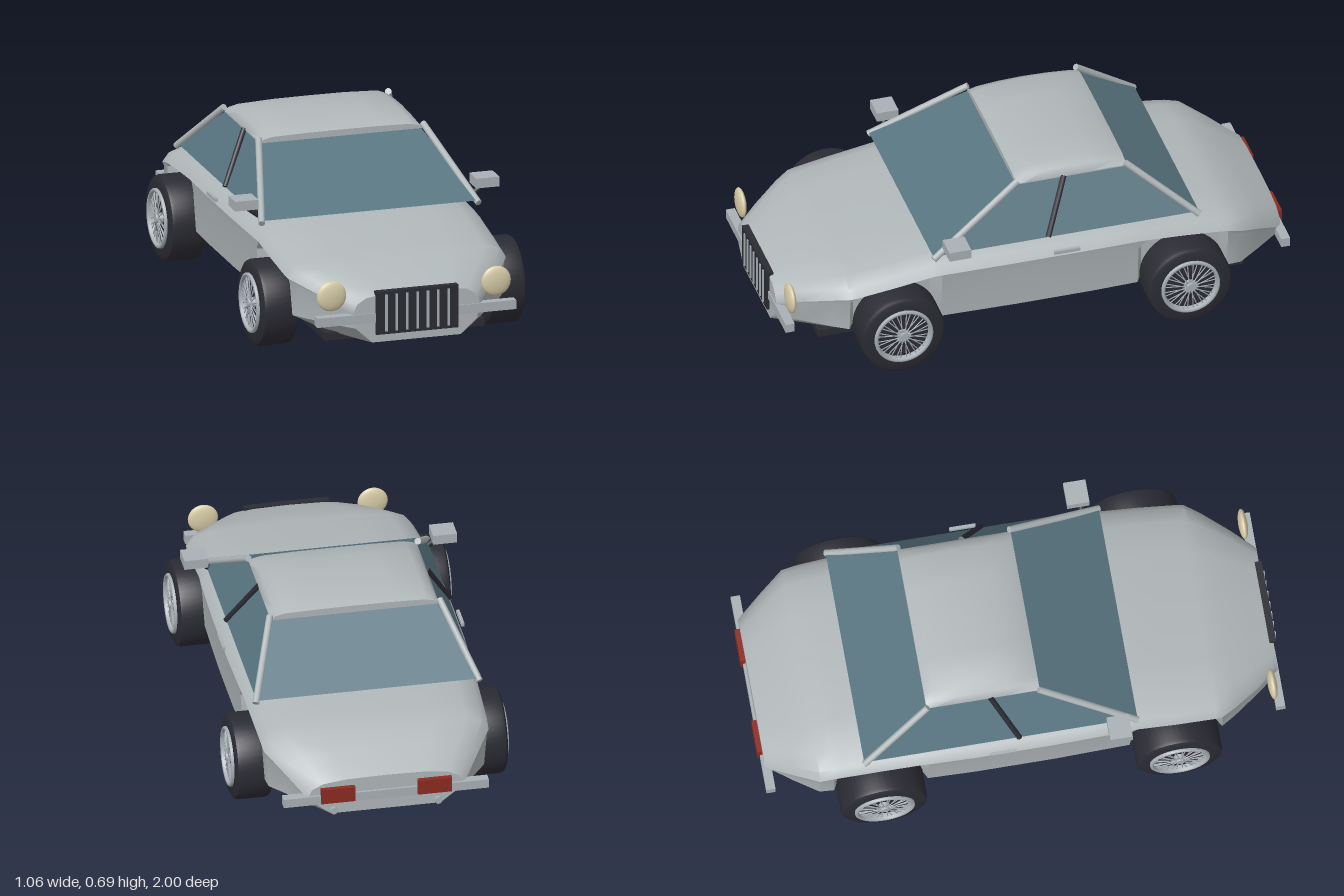
import * as THREE from 'three';
import { toCreasedNormals } from 'three/addons/utils/BufferGeometryUtils.js';

const mat = (name, color, side = THREE.FrontSide) => {
  const m = new THREE.MeshStandardMaterial({ color, side });
  m.name = name;
  return m;
};

// Joins half profiles (top centre round to bottom centre) along z, mirrored in x, with end caps
function loft(sections, crease) {
  const pos = [], idx = [];
  let n = 0;
  for (const { z, pts } of sections) {
    const ring = [...pts, ...pts.slice(1, -1).reverse().map(([x, y]) => [-x, y])];
    n = ring.length;
    ring.forEach(([x, y]) => pos.push(x, y, z));
  }
  const last = sections.length - 1;
  for (let i = 0; i < last; i++) {
    for (let j = 0; j < n; j++) {
      const a = i * n + j, b = i * n + (j + 1) % n;
      idx.push(a, b, a + n, b, b + n, a + n);
    }
  }
  for (const i of [0, last]) {
    const { z, pts } = sections[i], c = pos.length / 3;
    pos.push(0, (pts[0][1] + pts[pts.length - 1][1]) / 2, z);
    for (let j = 0; j < n; j++) {
      const a = i * n + j, b = i * n + (j + 1) % n;
      idx.push(c, i ? a : b, i ? b : a);
    }
  }
  const g = new THREE.BufferGeometry();
  g.setAttribute('position', new THREE.Float32BufferAttribute(pos, 3));
  g.setIndex(idx);
  return toCreasedNormals(g, crease);
}

// Thin round bar between two points
function rodGeometry(a, b, r, sides = 10) {
  const p = new THREE.Vector3(...a), d = new THREE.Vector3(...b).sub(p);
  const g = new THREE.CylinderGeometry(r, r, d.length(), sides);
  g.applyQuaternion(new THREE.Quaternion().setFromUnitVectors(new THREE.Vector3(0, 1, 0), d.clone().normalize()));
  return g.translate(...p.addScaledVector(d, 0.5).toArray());
}

export function createModel() {
  const car = new THREE.Group();
  car.name = 'car';
  const paint = mat('silverPaint', 0xb0b7b9);
  const chrome = mat('chrome', 0xa9b1b6);
  const dark = mat('darkRubber', 0x2b2b34);
  const glass = mat('glass', 0x587580, THREE.DoubleSide);
  const cream = mat('lampCream', 0xd8cca8);
  const red = mat('lampRed', 0x8c2a20);

  const add = (name, geometry, material, parent = car) => {
    const m = new THREE.Mesh(geometry, material);
    m.name = name;
    parent.add(m);
    return m;
  };
  const box = (name, material, w, h, d, x, y, z) =>
    add(name, new THREE.BoxGeometry(w, h, d).translate(x, y, z), material);

  // Body shell: [z, half width, top height, base height, recess at wheel]
  const stations = [
    [0.985, 0.25, 0.29, 0.10, 0], [0.9, 0.32, 0.325, 0.10, 0], [0.8, 0.395, 0.36, 0.10, 0],
    [0.745, 0.43, 0.375, 0.10, 0], [0.72, 0.434, 0.379, 0.10, 1], [0.57, 0.44, 0.402, 0.10, 1],
    [0.42, 0.442, 0.425, 0.10, 1], [0.39, 0.445, 0.427, 0.10, 0], [0.1, 0.452, 0.43, 0.10, 0],
    [-0.2, 0.452, 0.43, 0.10, 0], [-0.38, 0.447, 0.428, 0.10, 0], [-0.41, 0.445, 0.426, 0.10, 1],
    [-0.56, 0.44, 0.415, 0.10, 1], [-0.71, 0.435, 0.4, 0.10, 1], [-0.735, 0.434, 0.396, 0.10, 0],
    [-0.79, 0.43, 0.382, 0.10, 0], [-0.88, 0.37, 0.335, 0.11, 0], [-0.98, 0.30, 0.275, 0.13, 0],
  ];
  add('body', loft(stations.map(([z, w, t, b, cut]) => ({
    z,
    pts: [
      [0, t], [0.5 * w, t - 0.003], [0.8 * w, t - 0.014], [0.94 * w, t - 0.036], [w, t - 0.07],
      [cut ? 0.375 : 0.985 * w, Math.min(t - 0.085, 0.32)],
      [cut ? 0.37 : 0.96 * w, b + 0.06], [0.7 * w, b], [0, b],
    ],
  })), 0.65), paint);
  box('floorPlate', dark, 0.63, 0.03, 1.67, 0, 0.092, 0.005);

  // Domed roof
  const roof = [[0.065, 0.65], [0.03, 0.667], [-0.05, 0.68], [-0.14, 0.686], [-0.24, 0.681], [-0.33, 0.668], [-0.367, 0.653]];
  add('roof', loft(roof.map(([z, t]) => ({
    z,
    pts: [[0, 1], [0.14, 0.98], [0.27, 0.85], [0.305, 0.55], [0.322, 0.1], [0.322, 0], [0, 0]]
      .map(([x, k]) => [x, 0.625 + k * (t - 0.625)]),
  })), 0.7), paint);

  // Four window panes around the cabin
  const low = [[0.425, 0.435, 0.42], [0.425, 0.435, -0.622], [-0.425, 0.435, -0.622], [-0.425, 0.435, 0.42]];
  const high = [[0.315, 0.628, 0.06], [0.315, 0.628, -0.362], [-0.315, 0.628, -0.362], [-0.315, 0.628, 0.06]];
  ['leftWindow', 'rearWindow', 'rightWindow', 'windscreen'].forEach((name, i) => {
    const k = (i + 1) % 4, g = new THREE.BufferGeometry();
    g.setAttribute('position', new THREE.Float32BufferAttribute([...low[i], ...low[k], ...high[k], ...high[i]], 3));
    g.setIndex([0, 1, 2, 0, 2, 3]);
    g.computeVertexNormals();
    add(name, g, glass);
  });

  // Corner pillars
  low.forEach(([x, y, z], i) => {
    const [hx, hy, hz] = high[i];
    add('cornerPillar', rodGeometry([x * 1.008, y - 0.01, z], [hx * 1.03, hy + 0.015, hz], 0.013), paint);
  });

  for (const s of [1, -1]) {
    // Door post, handle and mirror
    add('doorPost', rodGeometry([s * 0.427, 0.437, -0.03], [s * 0.322, 0.63, -0.122], 0.011), dark);
    box('doorHandle', chrome, 0.012, 0.014, 0.1, s * 0.457, 0.382, -0.095);
    add('mirrorStem', rodGeometry([s * 0.42, 0.44, 0.355], [s * 0.47, 0.478, 0.355], 0.012), dark);
    box('mirror', chrome, 0.092, 0.038, 0.085, s * 0.476, 0.49, 0.343);

    // Lamps and exhaust
    add('headlight', new THREE.SphereGeometry(0.058, 28, 18).scale(1, 1, 0.3).translate(s * 0.325, 0.286, 0.952), cream);
    box('tailLight', red, 0.13, 0.06, 0.025, s * 0.185, 0.215, -0.987);
    add('exhaust', rodGeometry([s * 0.2, 0.145, -0.9], [s * 0.2, 0.145, -0.992], 0.014, 16), chrome);
  }

  // Bumpers
  box('frontBumper', chrome, 0.785, 0.036, 0.035, 0, 0.197, 0.972);
  box('rearBumper', chrome, 0.785, 0.036, 0.035, 0, 0.197, -0.972);

  // Grille with upright bars
  box('grille', dark, 0.325, 0.168, 0.026, 0, 0.215, 0.982);
  for (let i = -3; i <= 3; i++) box('grilleBar', chrome, 0.009, 0.144, 0.008, i * 0.041, 0.215, 0.996);

  // Wheels: tyre, rim ring, hub and crossed wire spokes, built along y with the outside up
  const v = (x, y) => new THREE.Vector2(x, y);
  const tyre = toCreasedNormals(new THREE.LatheGeometry([
    v(0, -0.07), v(0.15, -0.07), v(0.161, -0.063), v(0.165, -0.05), v(0.165, 0.05),
    v(0.161, 0.063), v(0.15, 0.07), v(0.105, 0.07), v(0.102, 0.055), v(0, 0.055),
  ], 48), 0.6);
  const rim = new THREE.LatheGeometry([
    v(0.1, 0.05), v(0.115, 0.065), v(0.114, 0.078), v(0.108, 0.082), v(0.101, 0.078), v(0.1, 0.05),
  ], 48);
  const hub = new THREE.CylinderGeometry(0.016, 0.022, 0.032, 20).translate(0, 0.066, 0);
  const spokes = [];
  for (let i = 0; i < 16; i++) {
    for (const lean of [0.28, -0.28]) {
      const a = i * Math.PI / 8, b = a + lean;
      spokes.push(rodGeometry(
        [0.016 * Math.cos(a), 0.074, 0.016 * Math.sin(a)],
        [0.104 * Math.cos(b), 0.068, 0.104 * Math.sin(b)], 0.0022, 5));
    }
  }
  for (const z of [0.565, -0.56]) {
    for (const s of [1, -1]) {
      const wheel = new THREE.Group();
      wheel.name = (z > 0 ? 'front' : 'rear') + (s > 0 ? 'Left' : 'Right') + 'Wheel';
      add('tyre', tyre, dark, wheel);
      add('rim', rim, chrome, wheel);
      add('hub', hub, chrome, wheel);
      spokes.forEach(g => add('spoke', g, chrome, wheel));
      wheel.rotation.z = -s * Math.PI / 2;
      wheel.position.set(s * 0.45, 0.166, z);
      car.add(wheel);
    }
  }
  return car;
}
